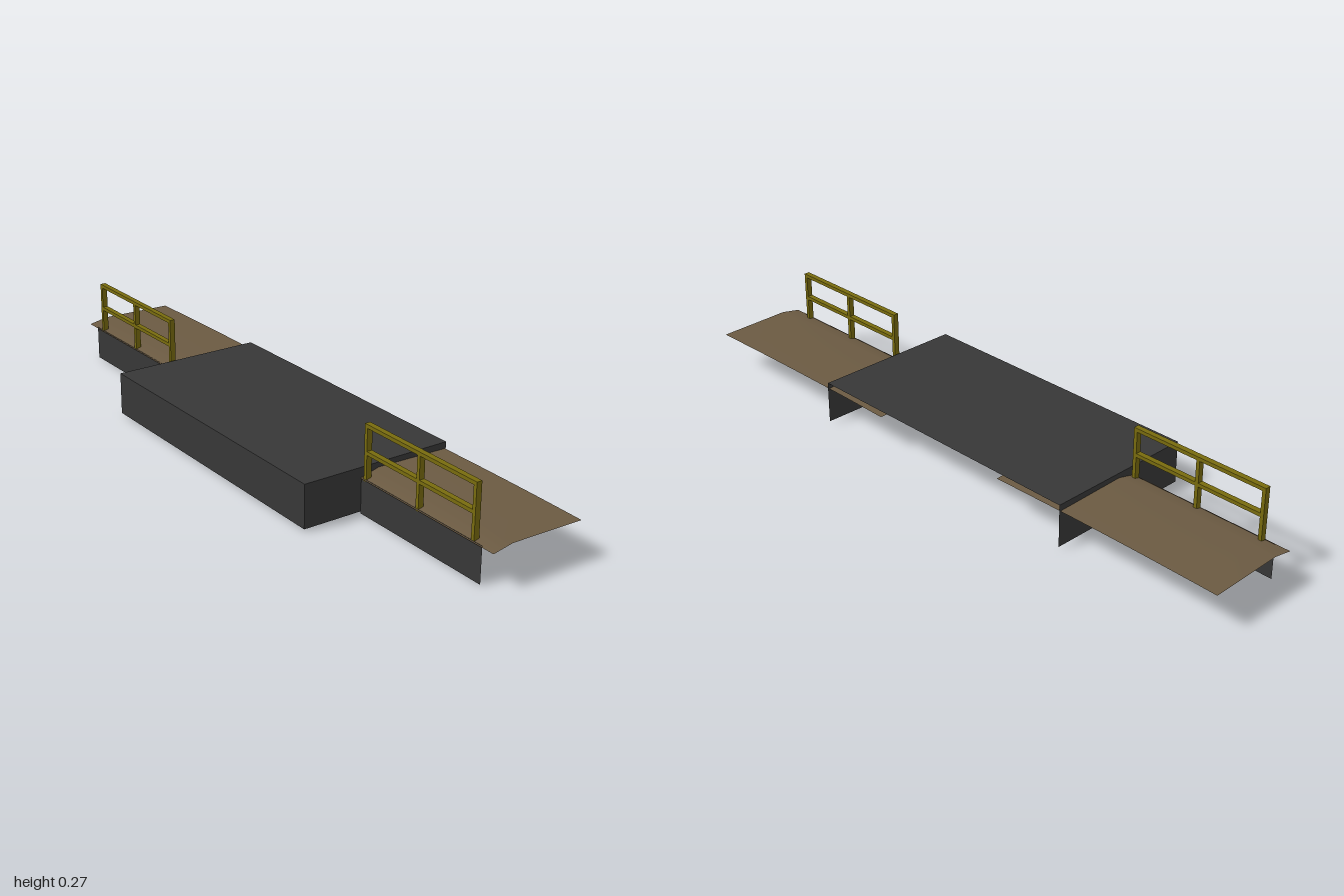
import * as THREE from 'three';

const mat = (name, color) => {
  const m = new THREE.MeshStandardMaterial({ color, side: THREE.DoubleSide });
  m.name = name;
  return m;
};

export function createModel() {
  const group = new THREE.Group();
  const darkGrey = mat('darkGrey', 0x373737);
  const brown = mat('brown', 0x6b5a42);
  const olive = mat('oliveYellow', 0x786b0e);

  const add = (parent, name, geometry, material, x = 0, y = 0, z = 0) => {
    const mesh = new THREE.Mesh(geometry, material);
    mesh.name = name;
    mesh.position.set(x, y, z);
    parent.add(mesh);
    return mesh;
  };

  // Central platform: a thin shell open below and on the +x side
  const W = 0.477, L = 0.955, top = 0.136, low = 0.006;
  const H = top - low, mid = (top + low) / 2;
  add(group, 'platformTop', new THREE.PlaneGeometry(W, L).rotateX(-Math.PI / 2), darkGrey, 0, top, 0);
  add(group, 'platformSideWall', new THREE.PlaneGeometry(L, H).rotateY(-Math.PI / 2), darkGrey, -W / 2, mid, 0);
  add(group, 'platformFrontWall', new THREE.PlaneGeometry(W, H), darkGrey, 0, mid, L / 2);
  add(group, 'platformBackWall', new THREE.PlaneGeometry(W, H).rotateY(Math.PI), darkGrey, 0, mid, -L / 2);

  // Walkway sheet: ridged near x = 0 and bowed slightly along its length
  const walkwayGeometry = () => {
    const xs = [-0.057, 0.005, 0.235], base = [0.105, 0.117, 0.113], bow = [0, 0.005, 0.004];
    const g = new THREE.PlaneGeometry(1, 0.76, 2, 8).rotateX(-Math.PI / 2);
    const p = g.attributes.position;
    for (let i = 0; i < p.count; i++) {
      const c = i % 3, t = p.getZ(i) / 0.38;
      p.setXYZ(i, xs[c], base[c] + bow[c] * (1 - t * t), p.getZ(i));
    }
    g.computeVertexNormals();
    return g;
  };

  // Each end: walkway, skirt wall and railing
  for (const s of [1, -1]) {
    const end = new THREE.Group();
    end.name = s > 0 ? 'frontWalkway' : 'backWalkway';
    group.add(end);

    add(end, 'walkwaySheet', walkwayGeometry(), brown, 0, 0, s * 0.62);
    add(end, 'walkwaySkirt', new THREE.PlaneGeometry(0.478, 0.107).rotateY(-Math.PI / 2),
      darkGrey, -0.053, 0.0535, s * 0.716);

    const railing = new THREE.Group();
    railing.name = 'railing';
    end.add(railing);
    for (const z of [0.493, 0.707, 0.919]) {
      add(railing, 'railPost', new THREE.BoxGeometry(0.017, 0.16, 0.011), olive, -0.0445, 0.18, s * z);
    }
    for (const y of [0.26, 0.183]) {
      add(railing, 'rail', new THREE.BoxGeometry(0.017, 0.011, 0.437), olive, -0.0445, y, s * 0.706);
    }
  }
  return group;
}
